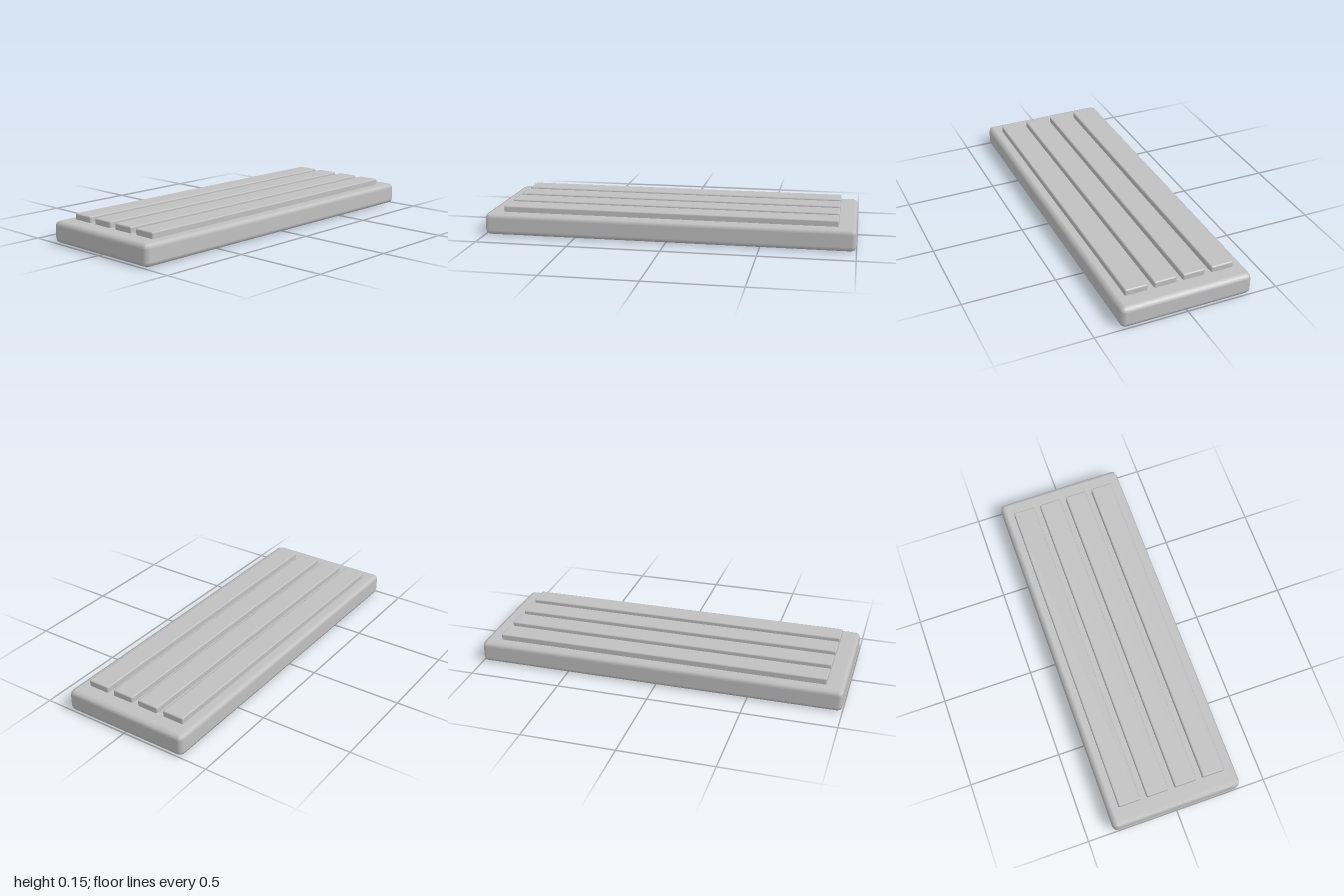
import * as THREE from 'three';
import { RoundedBoxGeometry } from 'three/addons/geometries/RoundedBoxGeometry.js';

export function createModel() {
  const group = new THREE.Group();
  group.name = 'ribbedPlate';

  const grey = new THREE.MeshStandardMaterial({ color: 0xc0c0c0 });
  grey.name = 'lightGrey';

  // Box with softened edges, resting on the given bottom height
  const addBlock = (name, width, height, depth, radius, bottom, z) => {
    const mesh = new THREE.Mesh(new RoundedBoxGeometry(width, height, depth, 1, radius), grey);
    mesh.name = name;
    mesh.position.set(0, bottom + height / 2, z);
    group.add(mesh);
  };

  // Base slab
  addBlock('base', 2, 0.119, 0.714, 0.027, 0, 0);

  // Four parallel ribs, sunk slightly into the slab
  const pitch = 0.157;
  for (let i = 0; i < 4; i++) {
    addBlock(`rib${i + 1}`, 1.81, 0.04, 0.122, 0.008, 0.112, (i - 1.5) * pitch);
  }

  return group;
}
